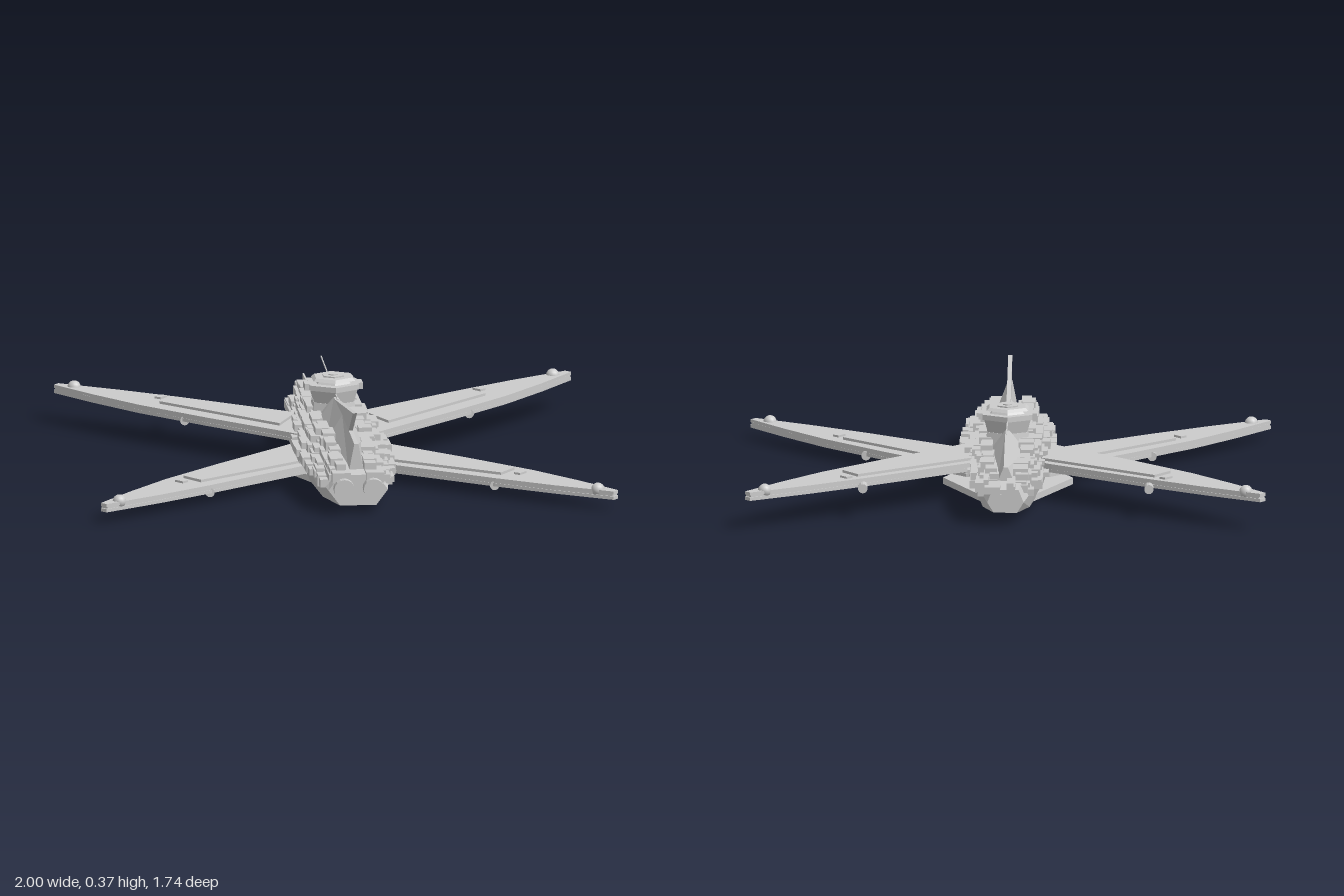
import * as THREE from 'three';

const mat = new THREE.MeshStandardMaterial({ color: 0xcccccc, flatShading: true, side: THREE.DoubleSide });
const smooth = new THREE.MeshStandardMaterial({ color: 0xcccccc });

function add(parent, name, geo, x = 0, y = 0, z = 0, m = mat) {
  const mesh = new THREE.Mesh(geo, m);
  mesh.name = name;
  mesh.position.set(x, y, z);
  parent.add(mesh);
  return mesh;
}

function box(parent, name, w, h, d, x, y, z) {
  return add(parent, name, new THREE.BoxGeometry(w, h, d), x, y, z);
}

// Flat plate from an outline of [x, z] points
function plate(parent, name, pts, y, h) {
  const shape = new THREE.Shape(pts.map(([x, z]) => new THREE.Vector2(x, -z)));
  const geo = new THREE.ExtrudeGeometry(shape, { depth: h, bevelEnabled: false });
  return add(parent, name, geo.rotateX(-Math.PI / 2), 0, y, 0);
}

// Upright thin plate from an outline of [z, y] points
function fin(parent, name, pts, thick, x = 0) {
  const shape = new THREE.Shape(pts.map(([z, y]) => new THREE.Vector2(z, y)));
  const geo = new THREE.ExtrudeGeometry(shape, { depth: thick, bevelEnabled: false });
  return add(parent, name, geo.rotateY(-Math.PI / 2), x + thick / 2, 0, 0);
}

// Skin over cross-sections; each ring runs anticlockwise seen from the front, rings go front to back
function loft(rings) {
  const n = rings[0].length, idx = [];
  for (let i = 0; i < rings.length - 1; i++) {
    for (let j = 0; j < n; j++) {
      const a = i * n + j, b = i * n + (j + 1) % n;
      idx.push(a, a + n, b, b, a + n, b + n);
    }
  }
  const last = (rings.length - 1) * n;
  for (let j = 1; j < n - 1; j++) idx.push(0, j, j + 1, last, last + j + 1, last + j);
  const geo = new THREE.BufferGeometry();
  geo.setAttribute('position', new THREE.Float32BufferAttribute(rings.flat(2), 3));
  geo.setIndex(idx);
  const out = geo.toNonIndexed();
  out.computeVertexNormals();
  return out;
}

// Hull stations: z, then half width and height of bottom, waist and shoulder
const stations = [
  [0.80, 0.07, 0.03, 0.115, 0.09, 0.07, 0.15],
  [0.55, 0.11, 0.008, 0.145, 0.10, 0.08, 0.17],
  [0.25, 0.13, 0.005, 0.17, 0.11, 0.09, 0.185],
  [-0.10, 0.13, 0.005, 0.165, 0.11, 0.09, 0.185],
  [-0.50, 0.09, 0.015, 0.115, 0.10, 0.08, 0.17],
  [-0.78, 0.045, 0.05, 0.07, 0.09, 0.05, 0.14],
];

function stationAt(z) {
  let i = 0;
  while (i < stations.length - 2 && z < stations[i + 1][0]) i++;
  const a = stations[i], b = stations[i + 1];
  const t = THREE.MathUtils.clamp((a[0] - z) / (a[0] - b[0]), 0, 1);
  return a.map((v, k) => v + (b[k] - v) * t);
}

function buildHull(root) {
  const hull = new THREE.Group();
  hull.name = 'hull';
  root.add(hull);
  add(hull, 'hullBody', loft(stations.map(([z, bw, by, ww, wy, tw, ty]) =>
    [[bw, by, z], [ww, wy, z], [tw, ty, z], [-tw, ty, z], [-ww, wy, z], [-bw, by, z]])));

  // Central ridge, tall fin and keel
  const ridge = [[0.73, 0.03, 0.14, 0.255], [0.3, 0.07, 0.17, 0.27], [0, 0.07, 0.18, 0.268],
    [-0.25, 0.06, 0.17, 0.245], [-0.67, 0.035, 0.14, 0.205]];
  add(hull, 'ridge', loft(ridge.map(([z, w, y, top]) =>
    [[w, y, z], [0.008, top, z], [-0.008, top, z], [-w, y, z]])));
  fin(hull, 'tallFin', [[0.68, 0.365], [0.05, 0.27], [0.1, 0.2], [0.45, 0.2], [0.49, 0.235]], 0.016);
  plate(hull, 'keelPlate', [[0, 0.55], [0.25, 0], [0, -0.55], [-0.25, 0]], 0, 0.025);

  // Drums at the front end
  for (const s of [-1, 1]) {
    add(hull, 'drum', new THREE.CylinderGeometry(0.04, 0.04, 0.14, 16).rotateX(Math.PI / 2),
      s * 0.057, 0.1, 0.77);
    box(hull, 'drumHousing', 0.07, 0.04, 0.16, s * 0.065, 0.14, 0.73);
  }
}

function buildPlating(root) {
  const plating = new THREE.Group();
  plating.name = 'plating';
  root.add(plating);
  let seed = 7;
  const rnd = () => (seed = (seed * 16807) % 2147483647) / 2147483647;

  // Blocks stepped up both flanks, from waist to shoulder
  for (const s of [-1, 1]) {
    for (let row = 0; row < 4; row++) {
      for (let z = 0.72; z > -0.68; z -= 0.065) {
        const [, , , ww, wy, tw, ty] = stationAt(z);
        const t = row / 3, len = 0.05 + 0.07 * rnd();
        const x = ww + (tw - ww) * t + (rnd() - 0.5) * 0.02;
        const y = wy + 0.015 + (ty - wy) * t + (rnd() - 0.5) * 0.012;
        box(plating, 'hullBlock', 0.035 + 0.025 * rnd(), 0.016 + 0.02 * rnd(), len, s * (x - 0.012), y, z);
      }
    }
  }
  // Long side strakes
  for (const s of [-1, 1]) {
    box(plating, 'sideStrake', 0.05, 0.03, 0.4, s * 0.15, 0.1, 0.12);
    box(plating, 'sideStrake', 0.04, 0.035, 0.28, s * 0.125, 0.1, 0.55);
    box(plating, 'sideStrake', 0.04, 0.03, 0.3, s * 0.12, 0.115, -0.42);
  }
  // Uneven prongs at the back: x, y, width, back end
  for (const [x, y, w, end] of [[0.05, 0.14, 0.06, -0.8], [0.03, 0.11, 0.03, -0.79], [0.1, 0.135, 0.03, -0.7],
    [-0.02, 0.15, 0.03, -0.78], [-0.07, 0.13, 0.03, -0.72], [-0.11, 0.125, 0.025, -0.6],
    [0.125, 0.145, 0.025, -0.56], [0.0, 0.13, 0.05, -0.74], [0.075, 0.16, 0.02, -0.76]])
    box(plating, 'tailProng', w, 0.028, 0.32, x, y, end + 0.16);
  box(plating, 'tailSpike', 0.006, 0.02, 0.2, -0.035, 0.155, -0.75);
}

function buildTower(root) {
  const tower = new THREE.Group();
  tower.name = 'tower';
  tower.position.set(0, 0, -0.105);
  root.add(tower);
  // Six-sided tiers: name, top radius, bottom radius, bottom, top
  for (const [name, r1, r2, y0, y1] of [
    ['towerBase', 0.09, 0.1, 0.17, 0.235], ['towerBody', 0.103, 0.088, 0.235, 0.285],
    ['towerCollar', 0.11, 0.11, 0.285, 0.305], ['towerNeck', 0.065, 0.075, 0.305, 0.318],
    ['towerCap', 0.08, 0.093, 0.318, 0.329], ['capRing', 0.045, 0.045, 0.329, 0.334],
    ['capStud', 0.02, 0.02, 0.334, 0.338]])
    add(tower, name, new THREE.CylinderGeometry(r1, r2, y1 - y0, 6), 0, (y0 + y1) / 2, 0);
  for (const s of [-1, 1]) box(tower, 'towerPod', 0.035, 0.025, 0.06, s * 0.095, 0.293, 0);

  // Aerials
  const aerial = (a, b) => add(tower, 'aerial', new THREE.TubeGeometry(
    new THREE.LineCurve3(new THREE.Vector3(...a), new THREE.Vector3(...b)), 1, 0.003, 6));
  aerial([0, 0.285, -0.07], [0, 0.305, -0.43]);
  aerial([0, 0.28, 0.07], [0, 0.272, 0.17]);
}

// One wing: side s = +1 left / -1 right, dir d = +1 front / -1 back, base height y
function buildWing(root, s, d, y) {
  const wing = new THREE.Group();
  wing.name = (d > 0 ? 'front' : 'back') + (s > 0 ? 'Left' : 'Right') + 'Wing';
  root.add(wing);
  const at = (pts) => pts.map(([x, z]) => [s * x, d * z]);
  const blade = [[0.05, 0.22], [0.17, 0.32], [0.55, 0.595], [0.76, 0.735], [0.98, 0.868], [1, 0.845],
    [0.87, 0.67], [0.71, 0.475], [0.48, 0.24], [0.23, 0.0], [0.16, -0.07], [0.05, -0.07]];
  // Two skins with a slightly recessed core
  plate(wing, 'wingLowerSkin', at(blade), y, 0.013);
  plate(wing, 'wingCore', at(blade.map(([x, z]) => [0.5 + (x - 0.5) * 0.992, 0.4 + (z - 0.4) * 0.985])), y + 0.012, 0.01);
  plate(wing, 'wingUpperSkin', at(blade), y + 0.021, 0.012);
  const o = d > 0 ? 0.01 : 0;
  plate(wing, 'wingPanel', at([[0.57 + o, 0.565 - 2 * o], [0.63 + o, 0.485 - 2 * o],
    [0.21 + o, 0.07], [0.13 + o, 0.245]]), y + 0.033, 0.01);

  // Tip dome, small hatch and underside cylinder
  add(wing, 'tipDome', new THREE.SphereGeometry(0.026, 16, 10), s * 0.925, y + 0.03, d * 0.81, smooth);
  const hatch = d > 0 ? [0.655, 0.53] : [0.615, 0.582];
  const lid = box(wing, 'hatch', 0.028, 0.01, 0.042, s * hatch[0], y + 0.036, d * hatch[1]);
  lid.rotation.y = -s * d * 0.7;
  const z0 = d > 0 ? 0.31 : 0.32, z1 = d > 0 ? 0.59 : 0.645;
  add(wing, 'undersideCylinder', new THREE.CylinderGeometry(0.018, 0.018, z1 - z0, 14).rotateX(Math.PI / 2),
    s * 0.55, y + 0.002, d * (z0 + z1) / 2);
}

export function createModel() {
  const root = new THREE.Group();
  root.name = 'starship';
  buildHull(root);
  buildPlating(root);
  buildTower(root);
  for (const s of [-1, 1]) {
    buildWing(root, s, 1, 0.042);
    buildWing(root, s, -1, 0.112);
  }
  return root;
}
